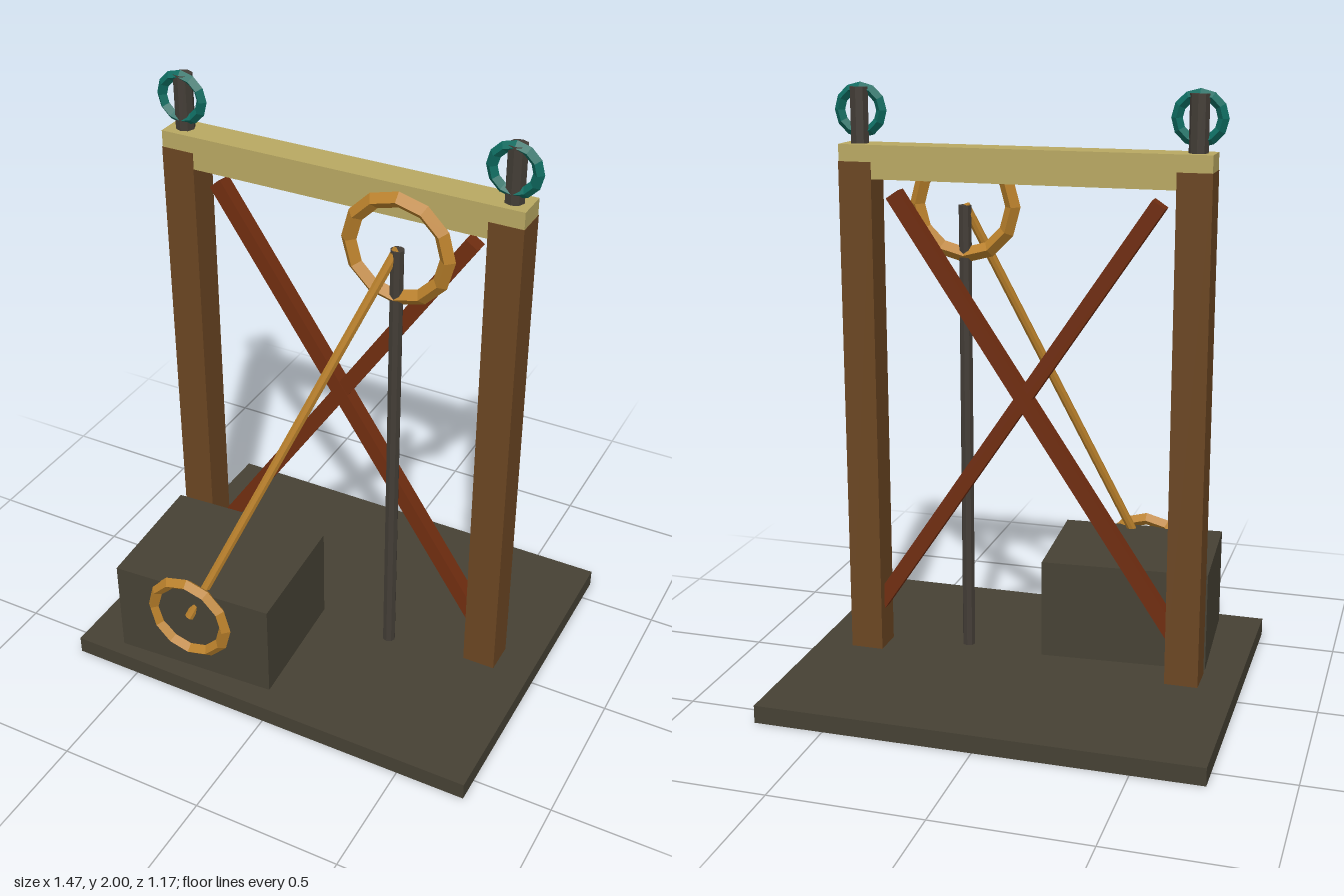
import * as THREE from 'three';

const mat = (name, color) => {
  const m = new THREE.MeshStandardMaterial({ color, flatShading: true });
  m.name = name;
  return m;
};

export function createModel() {
  const model = new THREE.Group();
  model.name = 'beltFrame';

  const stone = mat('darkStone', 0x464134);
  const postWood = mat('postWood', 0x6b4622);
  const beamWood = mat('paleBeamWood', 0xb8a862);
  const braceWood = mat('redBraceWood', 0x702d10);
  const brass = mat('brass', 0xb9802b);
  const iron = mat('iron', 0x433d36);
  const teal = mat('tealRing', 0x0e6b60);

  const add = (name, geometry, material, x, y, z) => {
    const mesh = new THREE.Mesh(geometry, material);
    mesh.name = name;
    mesh.position.set(x, y, z);
    model.add(mesh);
    return mesh;
  };
  const box = (name, material, w, h, d, x, y, z) =>
    add(name, new THREE.BoxGeometry(w, h, d), material, x, y, z);
  // Faceted ring with a diamond cross-section
  const ring = (name, material, radius, tube, x, y, z) =>
    add(name, new THREE.TorusGeometry(radius, tube, 4, 12), material, x, y, z);
  // Faceted rod between two points
  const rod = (name, material, radius, from, to) => {
    const a = new THREE.Vector3(...from);
    const b = new THREE.Vector3(...to);
    const dir = b.clone().sub(a);
    const mid = a.clone().add(b).multiplyScalar(0.5);
    const mesh = add(name, new THREE.CylinderGeometry(radius, radius, dir.length(), 8), material, mid.x, mid.y, mid.z);
    mesh.quaternion.setFromUnitVectors(new THREE.Vector3(0, 1, 0), dir.normalize());
    return mesh;
  };

  // Base slab and the slightly turned block on it
  box('base', stone, 1.47, 0.06, 1.17, 0, 0.03, 0);
  box('block', stone, 0.566, 0.34, 0.446, -0.315, 0.23, 0.295).rotation.y = 0.06;

  // Cross beam
  box('crossBeam', beamWood, 1.22, 0.11, 0.106, 0, 1.75, 0);

  // Posts, diagonal braces, pins and rings on both sides
  for (const side of [-1, 1]) {
    box('post', postWood, 0.112, 1.69, 0.11, side * 0.555, 0.905, 0);

    const top = new THREE.Vector2(side * 0.44, 1.645);
    const foot = new THREE.Vector2(-side * 0.525, 0.205);
    const run = foot.clone().sub(top);
    const brace = box('diagonalBrace', braceWood, 0.05, run.length(), 0.05,
      (top.x + foot.x) / 2, (top.y + foot.y) / 2, side * -0.001);
    brace.rotation.z = Math.atan2(run.x, -run.y);

    rod('topPin', iron, 0.031, [side * 0.555, 1.8, 0], [side * 0.555, 1.985, 0]);
    ring('topRing', teal, 0.072, 0.018, side * 0.555, 1.91, 0.012);
  }

  // Upright pole with the upper wheel
  rod('pole', iron, 0.022, [0.225, 0.06, 0.08], [0.225, 1.605, 0.08]);
  ring('upperWheel', brass, 0.164, 0.026, 0.225, 1.605, 0.078);

  // Lower wheel on the block and the connecting rod
  ring('lowerWheel', brass, 0.14, 0.022, -0.31, 0.285, 0.523);
  rod('connectingRod', brass, 0.016, [0.225, 1.605, 0.08], [-0.31, 0.285, 0.52]);

  return model;
}
